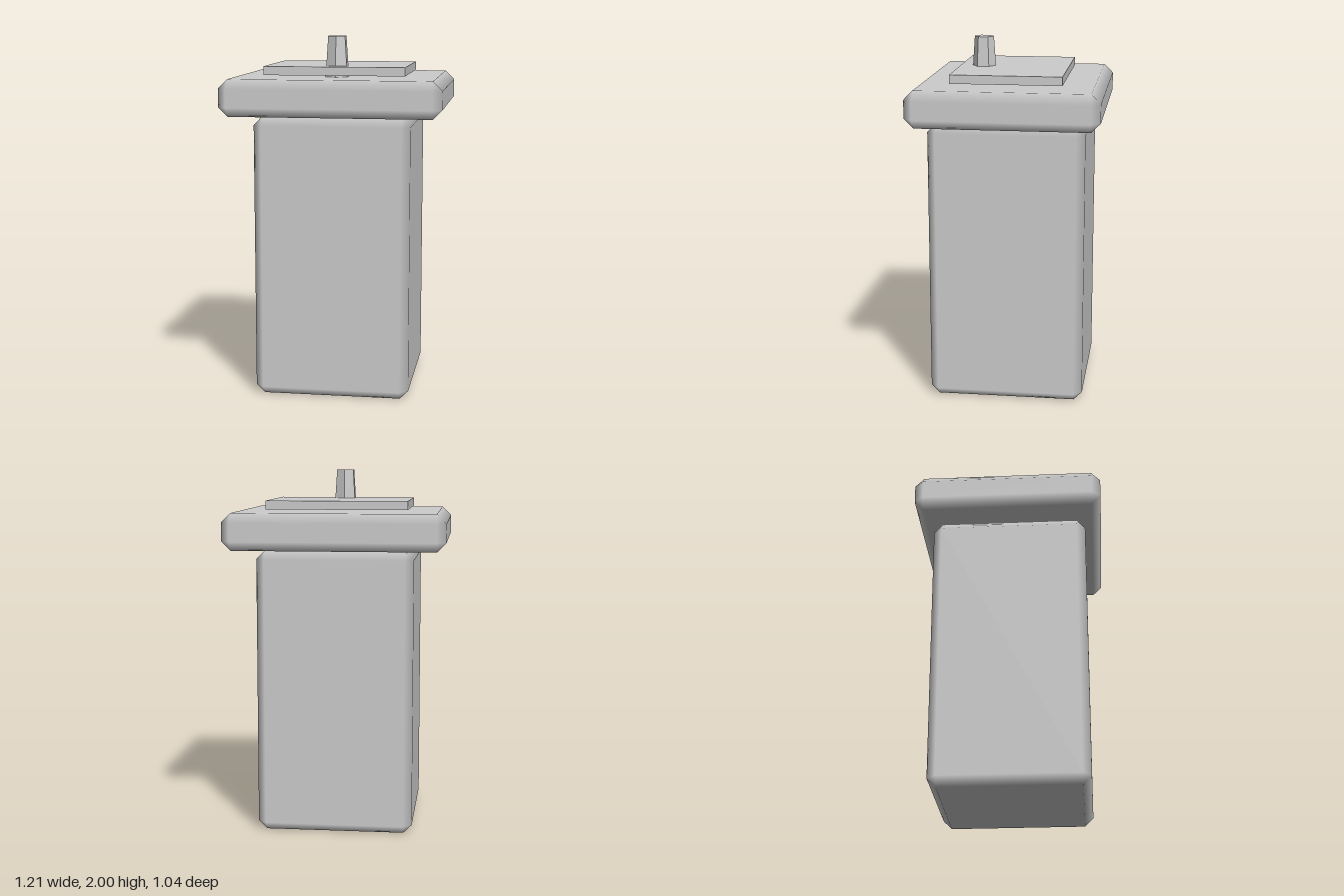
import * as THREE from 'three';
import { ConvexGeometry } from 'three/addons/geometries/ConvexGeometry.js';

// Box with one 45-degree chamfer per edge; main faces stay flat, chamfers shade smoothly between them
function chamferedBox(w, h, d, c) {
  const half = [w / 2, h / 2, d / 2];
  const points = [];
  for (const sx of [-1, 1]) for (const sy of [-1, 1]) for (const sz of [-1, 1]) {
    const sign = [sx, sy, sz];
    for (let axis = 0; axis < 3; axis++) {
      points.push(new THREE.Vector3(...sign.map((s, i) => s * (half[i] - (i === axis ? 0 : c)))));
    }
  }
  const geometry = new ConvexGeometry(points);
  const pos = geometry.attributes.position;
  const normal = geometry.attributes.normal;
  for (let i = 0; i < pos.count; i++) {
    const p = [pos.getX(i), pos.getY(i), pos.getZ(i)];
    normal.setXYZ(i, ...p.map((v, k) => (Math.abs(v) > half[k] - c / 2 ? Math.sign(v) : 0)));
  }
  return geometry;
}

export function createModel() {
  const model = new THREE.Group();
  model.name = 'pedestal';

  const grey = new THREE.MeshStandardMaterial({ color: 0xcccccc });
  grey.name = 'light grey';

  const add = (name, geometry, x, y, z) => {
    const mesh = new THREE.Mesh(geometry, grey);
    mesh.name = name;
    mesh.position.set(x, y, z);
    model.add(mesh);
  };

  // Column and overhanging cap
  add('column', chamferedBox(0.862, 1.568, 0.862, 0.047), 0, 0.784, 0);
  add('cap', chamferedBox(1.214, 0.203, 1.044, 0.051), 0, 1.6735, 0);

  // Thin plate held just above the cap
  add('plate', new THREE.BoxGeometry(0.782, 0.048, 0.61), 0, 1.812, 0);

  // Tapered six-sided pin through the plate, with crisp facets
  const pin = new THREE.CylinderGeometry(0.054, 0.07, 0.23, 6).toNonIndexed();
  pin.computeVertexNormals();
  add('pin', pin, 0, 1.885, 0.173);

  return model;
}
